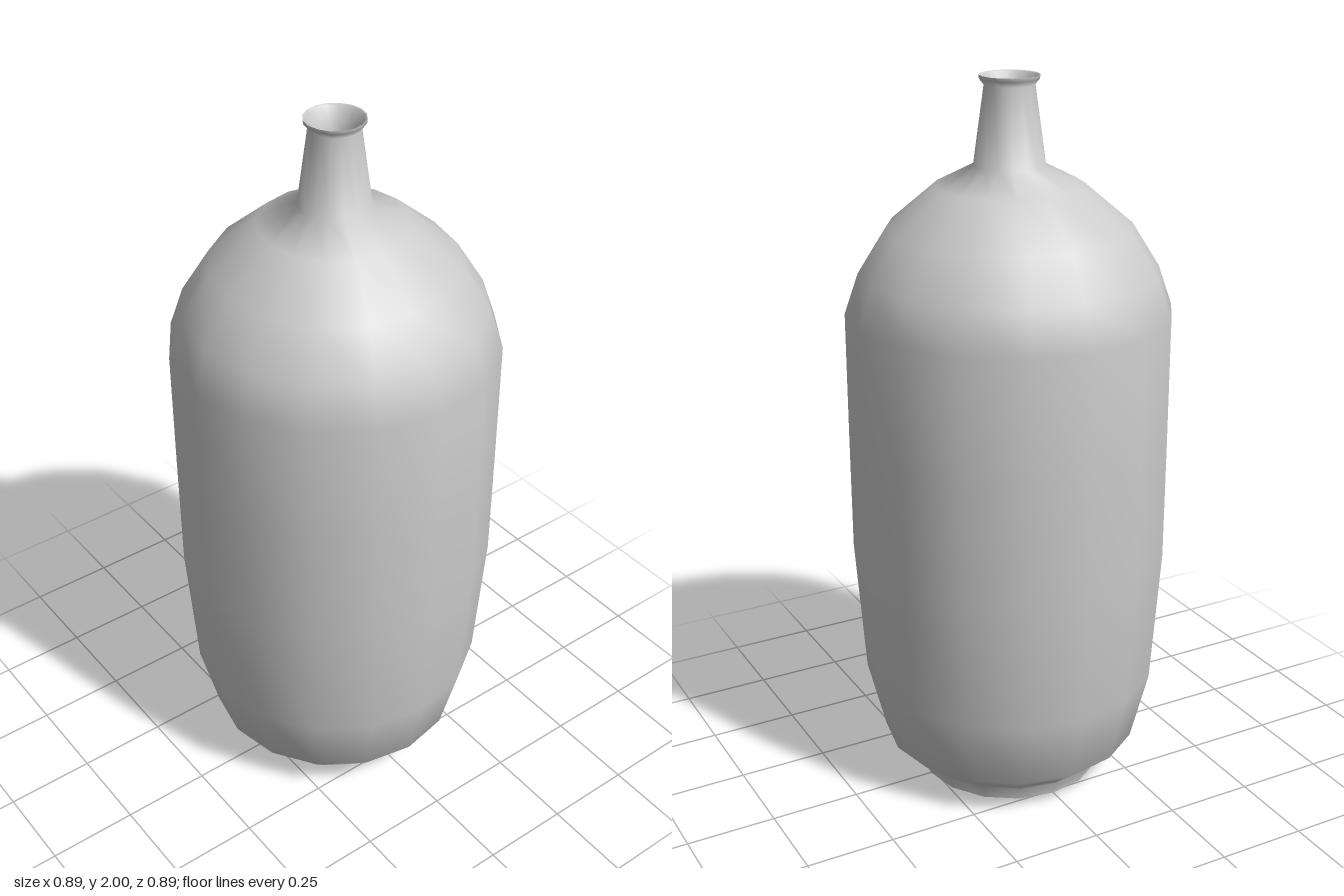
import * as THREE from 'three';

const SIDES = 16;

// Surface of revolution from [radius, height] pairs
function turned(name, profile, material) {
  const points = profile.map(([r, y]) => new THREE.Vector2(r, y));
  const mesh = new THREE.Mesh(new THREE.LatheGeometry(points, SIDES), material);
  mesh.name = name;
  return mesh;
}

export function createModel() {
  const group = new THREE.Group();
  group.name = 'bottle';
  const clay = new THREE.MeshStandardMaterial({ color: 0xcccccc, side: THREE.DoubleSide });

  // Foot ring, open underneath
  group.add(turned('foot', [[0.262, 0], [0.27, 0.035], [0.283, 0.05]], clay));

  // Body, domed shoulder, tapering neck and flared lip
  group.add(turned('body', [
    [0.283, 0.05], [0.365, 0.115], [0.415, 0.315], [0.442, 0.7], [0.443, 1.03],
    [0.443, 1.375], [0.405, 1.485], [0.33, 1.605], [0.2, 1.715], [0.096, 1.768],
    [0.067, 1.975], [0.079, 1.99], [0.08, 2],
  ], clay));

  // Inside of the mouth, narrowing down the neck
  group.add(turned('mouth', [
    [0.08, 2], [0.074, 1.997], [0.055, 1.965], [0.043, 1.92], [0.042, 1.77],
  ], clay));

  return group;
}
